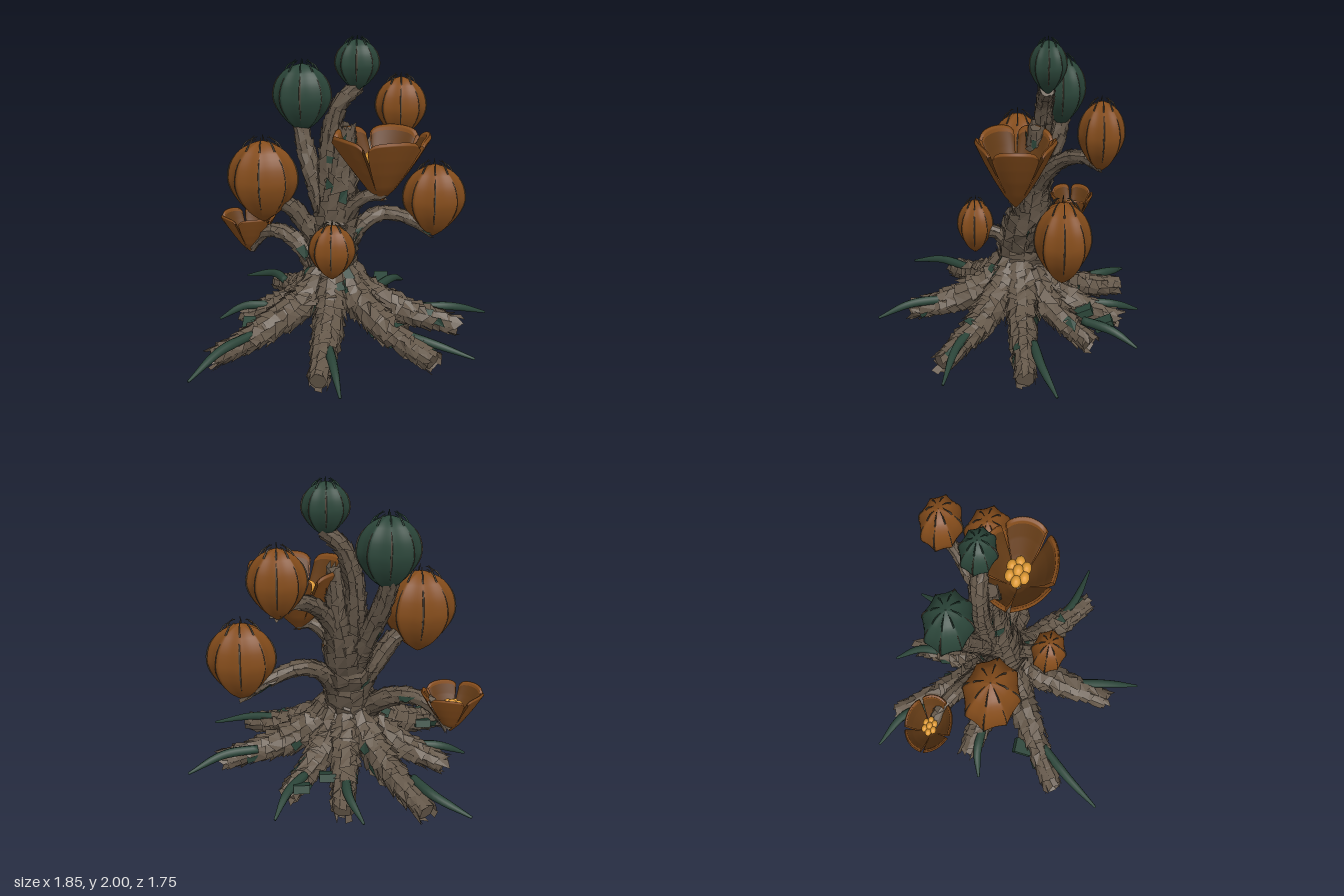
import * as THREE from 'three';
import { mergeVertices } from 'three/addons/utils/BufferGeometryUtils.js';
import { ParametricGeometry } from 'three/addons/geometries/ParametricGeometry.js';

const V = (p) => new THREE.Vector3(...p);
const paint = (name, color, side = THREE.FrontSide) => {
  const m = new THREE.MeshStandardMaterial({ color, side });
  m.name = name;
  return m;
};

export function createModel() {
  const model = new THREE.Group();
  model.name = 'podTree';
  const bark = paint('bark brown', 0x65584a, THREE.DoubleSide);
  const moss = paint('moss green', 0x2b4539, THREE.DoubleSide);
  const orange = paint('pod orange', 0x844c1b, THREE.DoubleSide);
  const inner = paint('inner petal brown', 0x623a15, THREE.DoubleSide);
  const rib = paint('rib grey brown', 0x51483c);
  const yellow = paint('stamen yellow', 0xdf9a34);

  let seed = 7;
  const rnd = () => (seed = (seed * 16807) % 2147483647) / 2147483647;
  const add = (name, geo, mat, parent = model) => {
    const m = new THREE.Mesh(geo, mat);
    m.name = name;
    parent.add(m);
    return m;
  };
  // Piecewise-linear lookup in an evenly spaced list
  const sample = (list, t) => {
    const f = Math.min(t, 0.9999) * (list.length - 1), i = Math.floor(f);
    return THREE.MathUtils.lerp(list[i], list[i + 1], f - i);
  };

  // Tapered tube; with "rough" it is covered in ragged, overlapping bark plates
  function limb(name, pts, radii, mat, { rough = 0, sides = 9, step = 0.06, mossy = 0, parent = model } = {}) {
    const curve = new THREE.CatmullRomCurve3(pts.map(V));
    const n = Math.max(4, Math.round(curve.getLength() / step));
    const fr = curve.computeFrenetFrames(n, false);
    const point = (i, j, scale, along) => {
      const a = (j / sides) * Math.PI * 2, r = sample(radii, i / n) * scale;
      const p = curve.getPointAt(i / n).addScaledVector(fr.normals[i], Math.cos(a) * r)
        .addScaledVector(fr.binormals[i], Math.sin(a) * r).addScaledVector(fr.tangents[i], along);
      p.y = Math.max(p.y, 0);
      return p;
    };
    const ring = (i) => Array.from({ length: sides }, (_, j) => point(i, j, 1 + rough * (rnd() - 0.6), 0));
    const faces = [[], []];
    const tri = (k, ...ps) => ps.forEach((p) => faces[k].push(p.x, p.y, p.z));
    let low = ring(0);
    for (let j = 0; j < sides; j++) tri(0, curve.getPointAt(0), low[(j + 1) % sides], low[j]);
    for (let i = 1; i <= n; i++) {
      const top = ring(i);
      for (let j = 0; j < sides; j++) {
        const k = (j + 1) % sides;
        tri(0, low[j], low[k], top[k]);
        tri(0, low[j], top[k], top[j]);
        if (!rough) continue;
        const g = rnd() < mossy ? 1 : 0;
        const lip = (q) => point(i, q, 1.06 + rough * rnd(), step * (rnd() * 1.2 - 0.35));
        const b = lip(j + 0.1 - 0.3 * rnd()), c = lip(j + 0.9 + 0.3 * rnd());
        tri(g, low[j], low[k], c);
        tri(g, low[j], c, b);
      }
      low = top;
    }
    for (let j = 0; j < sides; j++) tri(0, low[j], low[(j + 1) % sides], curve.getPointAt(1));
    faces.forEach((f, k) => {
      if (!f.length) return;
      let g = new THREE.BufferGeometry();
      g.setAttribute('position', new THREE.Float32BufferAttribute(f, 3));
      if (!rough) g = mergeVertices(g, 1e-5);
      g.computeVertexNormals();
      add(k ? name + 'Moss' : name, g, k ? moss : mat, parent);
    });
  }
  const woody = { rough: 0.2, mossy: 0.01 };

  // Trunk, with a broken stub at its top
  limb('trunk', [[-0.1, 0.22, -0.07], [-0.11, 0.4, -0.08], [-0.11, 0.65, -0.1], [-0.08, 0.9, -0.14], [-0.04, 1.18, -0.17], [-0.02, 1.42, -0.17]],
    [0.06, 0.15, 0.14, 0.11, 0.075, 0.05], bark, { ...woody, sides: 12, mossy: 0.02 });

  // Branches: path, thick end, thin end
  [
    [[[-0.12, 0.8, -0.14], [-0.14, 1.1, -0.19], [-0.12, 1.4, -0.21], [-0.06, 1.58, -0.22], [0.04, 1.67, -0.23]], 0.08, 0.045],
    [[[-0.13, 0.75, -0.14], [-0.22, 1.02, -0.22], [-0.3, 1.25, -0.3], [-0.33, 1.4, -0.34]], 0.075, 0.05],
    [[[-0.07, 0.92, -0.15], [0.03, 1.13, -0.22], [0.14, 1.27, -0.34], [0.25, 1.32, -0.45], [0.32, 1.29, -0.54]], 0.06, 0.033],
    [[[-0.07, 0.75, -0.1], [0.02, 0.94, -0.06], [0.11, 1.02, -0.04], [0.2, 1.02, -0.04]], 0.055, 0.033],
    [[[-0.14, 0.55, -0.1], [-0.28, 0.78, -0.11], [-0.4, 0.94, -0.08], [-0.54, 1, -0.05]], 0.07, 0.045],
    [[[-0.04, 0.58, -0.12], [0.06, 0.75, -0.19], [0.2, 0.82, -0.26], [0.38, 0.77, -0.31], [0.54, 0.67, -0.32]], 0.06, 0.033],
    [[[-0.1, 0.52, -0.02], [-0.1, 0.67, 0.05], [-0.1, 0.7, 0.12], [-0.1, 0.63, 0.21]], 0.055, 0.033],
    [[[-0.2, 0.42, -0.12], [-0.31, 0.57, -0.22], [-0.46, 0.65, -0.32], [-0.6, 0.62, -0.4], [-0.7, 0.49, -0.44]], 0.07, 0.033],
  ].forEach(([pts, a, b]) => limb('branch', pts, [a, b], bark, woody));

  // Roots: end x, end z
  [[-0.55, -0.76], [-0.04, -0.73], [0.28, -0.52], [0.73, -0.11], [0.55, 0.41], [-0.15, 0.68], [-0.84, 0.42], [-0.74, -0.21]]
    .forEach(([x, z]) => {
      const at = (t, y) => [-0.1 + (x + 0.1) * t, y, -0.07 + (z + 0.07) * t];
      limb('root', [at(0.1, 0.52), at(0.22, 0.35), at(0.5, 0.21), at(0.8, 0.125), at(0.98, 0.085)],
        [0.075, 0.095, 0.09, 0.072, 0.058], bark, { rough: 0.28, mossy: 0.035, sides: 10 });
    });

  // Tapering green shoots lying on the roots: base, bend, tip (x, z)
  [
    [-0.48, -0.54, -0.58, -0.7, -0.8, -0.83], [-0.07, -0.52, -0.08, -0.7, -0.16, -0.87],
    [0.18, -0.48, 0.29, -0.66, 0.36, -0.81], [0.48, -0.16, 0.7, -0.2, 0.92, -0.29],
    [0.22, 0.18, 0.5, 0.31, 0.8, 0.375], [-0.11, 0.42, -0.06, 0.66, -0.01, 0.87],
    [-0.6, 0.3, -0.77, 0.5, -0.92, 0.73], [-0.55, -0.14, -0.72, -0.14, -0.88, -0.1],
  ].forEach(([ax, az, bx, bz, cx, cz]) =>
    limb('shoot', [[ax, 0.19, az], [bx, 0.175, bz], [cx, 0.095, cz]], [0.028, 0.031, 0.024, 0.008], moss, { sides: 8, step: 0.03 }));

  // Blocky moss clumps tucked beside the roots
  [[0.2, -0.61], [0.04, -0.49], [-0.63, 0.16]].forEach(([x, z]) => {
    const m = add('mossClump', new THREE.BoxGeometry(0.1, 0.05, 0.12), moss);
    m.position.set(x, 0.18, z);
    m.rotation.x = 0.4;
  });

  // Closed pod: slightly flattened eight-ridged bulb with thin ribs and curled tips
  const bulb = new THREE.SplineCurve([[0.06, 0], [0.46, 0.12], [0.78, 0.28], [0.95, 0.42], [1, 0.55], [0.9, 0.73], [0.64, 0.88], [0.32, 0.96], [0.02, 1]]
    .map((p) => new THREE.Vector2(...p)));
  const flat = 0.8;
  function pod(x, y0, z, R, H, mat) {
    const g = new THREE.Group();
    g.name = 'pod';
    g.position.set(x, y0, z);
    g.scale.z = flat;
    model.add(g);
    add('podBody', new ParametricGeometry((u, v, p) => {
      const q = bulb.getPoint(v), a = u * Math.PI * 2;
      const r = R * q.x * (1 - 0.11 * Math.abs(Math.sin(a * 4)));
      p.set(Math.sin(a) * r, q.y * H, Math.cos(a) * r);
    }, 64, 20), mat, g);
    for (let i = 0; i < 8; i++) {
      const s = Math.sin(i * Math.PI / 4), c = Math.cos(i * Math.PI / 4);
      const to = (r, h) => [s * r * R, h * H, c * r * R];
      const line = [0.2, 0.35, 0.5, 0.65, 0.8].map((t) => { const q = bulb.getPoint(t); return to(q.x, q.y); });
      const w = i % 2 ? 0.003 : 0.006;
      limb('podRib', line, [0.002, w, w, 0.002], rib, { sides: 5, step: 0.04, parent: g });
      limb('podTip', [to(0.56, 0.9), to(0.44, 0.98), to(0.28, 1.02), to(0.2, i % 2 ? 1.03 : 1.06)], [0.006, 0.005, 0.002],
        mat === moss ? moss : rib, { sides: 5, step: 0.02, parent: g });
    }
  }
  pod(0.04, 1.65, -0.235, 0.14, 0.325, moss);
  pod(-0.32, 1.35, -0.335, 0.19, 0.45, moss);
  pod(0.32, 1.26, -0.54, 0.17, 0.42, orange);
  pod(-0.55, 0.83, -0.05, 0.225, 0.535, orange);
  pod(0.55, 0.645, -0.32, 0.208, 0.5, orange);
  pod(-0.095, 0.55, 0.22, 0.145, 0.36, orange);

  // Open flower: five thick round-topped petals forming a cup around a stamen cluster
  const outside = [[0.03, 0], [0.3, 0.19], [0.57, 0.45], [0.78, 0.68], [0.92, 0.85], [1, 0.95], [0.97, 1], [0.9, 0.98], [0.87, 0.92]];
  const inside = [[0.87, 0.92], [0.73, 0.74], [0.5, 0.5], [0.25, 0.27], [0.02, 0.14]];
  function flower(x, y0, z, R, H) {
    const g = new THREE.Group();
    g.name = 'flower';
    g.position.set(x, y0, z);
    g.scale.z = flat;
    model.add(g);
    for (let k = 0; k < 5; k++) {
      const shell = (prof) => {
        const xs = prof.map((p) => p[0]), ys = prof.map((p) => p[1]);
        return new ParametricGeometry((u, v, p) => {
          const s = u * 2 - 1, h = sample(ys, v), r = sample(xs, v) * R;
          const a = THREE.MathUtils.degToRad(90 + 72 * k + s * (36 - 3.5 * h * h));
          p.set(Math.sin(a) * r, h * H * (1 - h * (0.05 * s * s + 0.06 * s ** 8)), Math.cos(a) * r);
        }, 16, 24);
      };
      add('petal', shell(outside), orange, g);
      add('petalInside', shell(inside), inner, g);
    }
    const ball = new THREE.SphereGeometry(R * 0.135, 12, 8);
    for (let i = 0; i < 7; i++) {
      const a = i * Math.PI / 3, r = i < 6 ? R * 0.21 : 0;
      const b = add('stamen', ball, yellow, g);
      b.position.set(Math.cos(a) * r, H * (i < 6 ? 0.64 : 0.68), Math.sin(a) * r);
    }
    add('stamenStalk', new THREE.CylinderGeometry(R * 0.2, R * 0.08, H * 0.42, 12), yellow, g).position.y = H * 0.4;
  }
  flower(0.2, 0.98, -0.045, 0.31, 0.445);
  flower(-0.715, 0.46, -0.437, 0.19, 0.28);

  return model;
}
